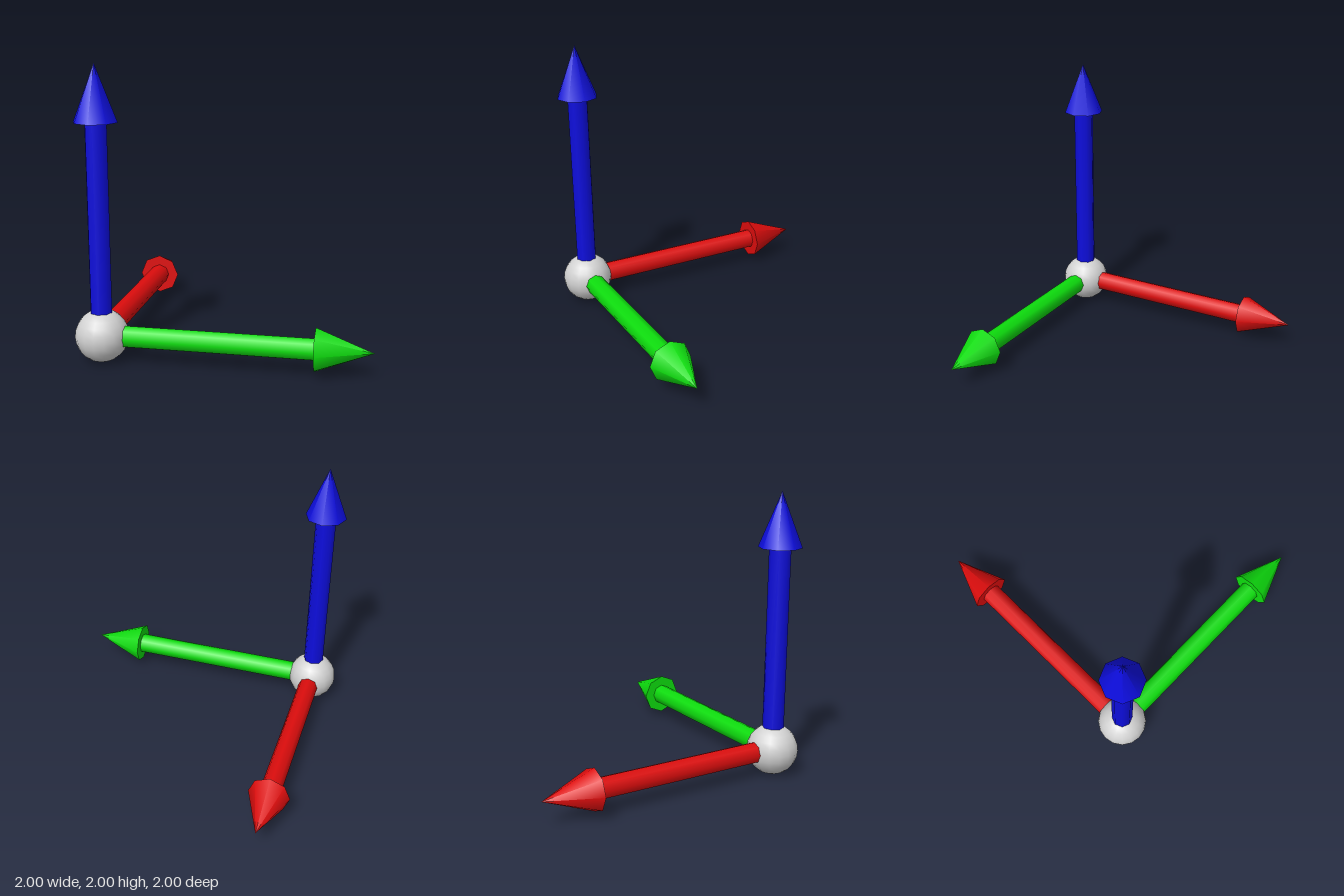
import * as THREE from 'three';

const material = (name, color) => {
  const m = new THREE.MeshStandardMaterial({ color });
  m.name = name;
  return m;
};

// One arrow along +y, starting at the hub centre
function makeArrow(name, mat) {
  const arrow = new THREE.Group();
  arrow.name = name;

  const shaftLength = 1.44, headLength = 0.38;
  const shaft = new THREE.Mesh(new THREE.CylinderGeometry(0.075, 0.075, shaftLength, 8), mat);
  shaft.name = name + 'Shaft';
  shaft.position.y = shaftLength / 2;

  const head = new THREE.Mesh(new THREE.ConeGeometry(0.15, headLength, 8), mat);
  head.name = name + 'Head';
  head.position.y = shaftLength + headLength / 2;

  arrow.add(shaft, head);
  return arrow;
}

export function createModel() {
  const model = new THREE.Group();
  model.name = 'axisArrows';

  // Hub ball at the shared origin of the arrows
  const hub = new THREE.Mesh(new THREE.SphereGeometry(0.18, 16, 12), material('lightGrey', 0xd2d2d2));
  hub.name = 'hub';

  // Three arrows: up, to the left and to the back
  const up = makeArrow('upArrow', material('blue', 0x0d0ddd));
  const side = makeArrow('sideArrow', material('green', 0x0ddd0d));
  side.rotation.z = -Math.PI / 2;
  const back = makeArrow('backArrow', material('red', 0xdd0d0d));
  back.rotation.x = -Math.PI / 2;

  const frame = new THREE.Group();
  frame.name = 'frame';
  frame.position.set(-0.82, 0.18, 0.82);
  frame.add(hub, up, side, back);
  model.add(frame);
  return model;
}
